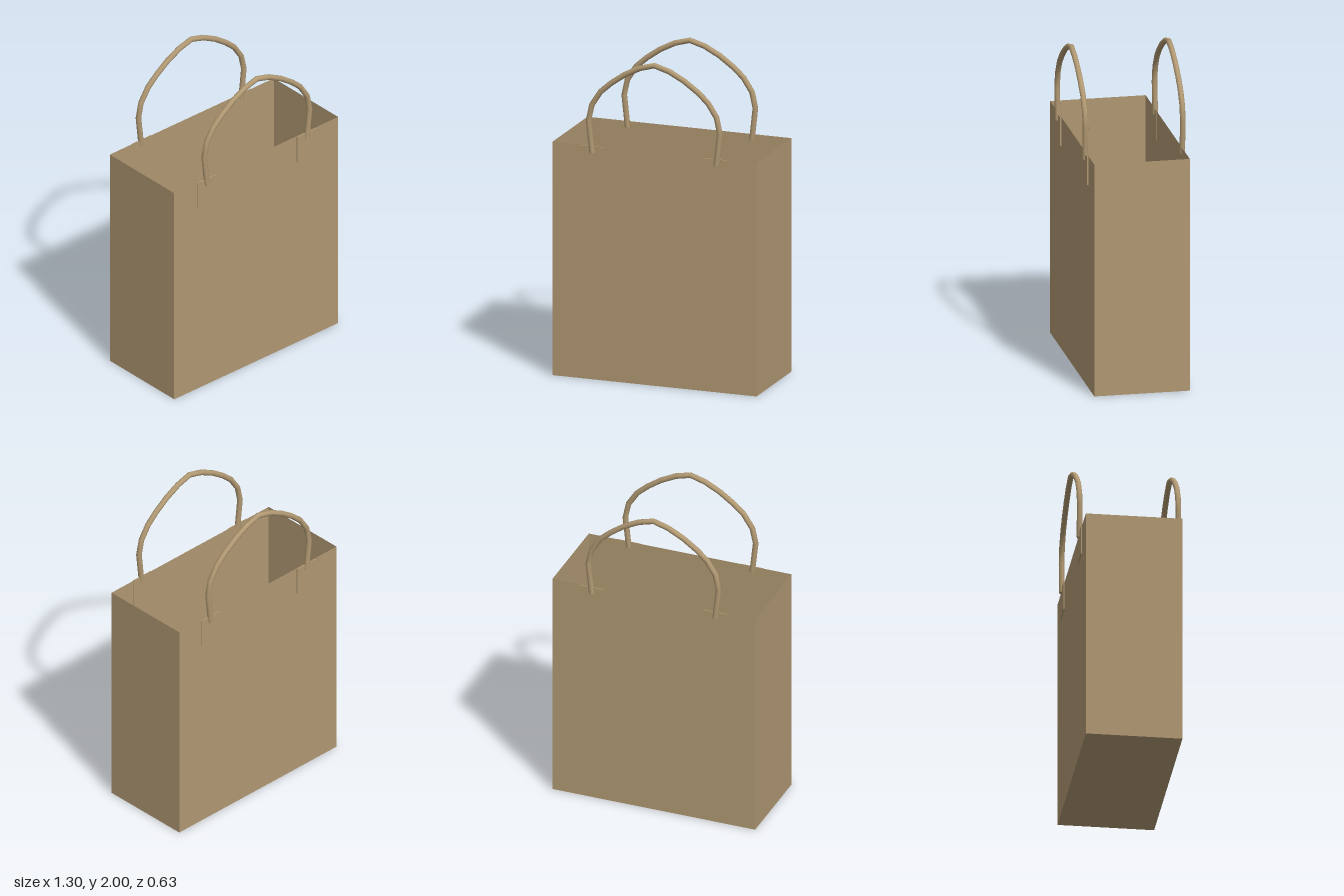
import * as THREE from 'three';

const W = 1.3, H = 1.445, D = 0.58;

// Polyline that places one tube ring on each point
class Polyline extends THREE.Curve {
  constructor(points) {
    super();
    this.points = points;
  }
  getPoint(t, target = new THREE.Vector3()) {
    const last = this.points.length - 1;
    const i = Math.min(Math.floor(t * last + 1e-6), last - 1);
    return target.lerpVectors(this.points[i], this.points[i + 1], t * last - i);
  }
  getPointAt(t, target) { return this.getPoint(t, target); }
  getTangentAt(t, target) { return this.getTangent(t, target); }
}

export function createModel() {
  const model = new THREE.Group();
  model.name = 'paperBag';
  const paper = new THREE.MeshStandardMaterial({ color: 0xb09872, side: THREE.DoubleSide });

  const add = (parent, name, geometry, x = 0, y = 0, z = 0) => {
    const mesh = new THREE.Mesh(geometry, paper);
    mesh.name = name;
    mesh.position.set(x, y, z);
    parent.add(mesh);
    return mesh;
  };

  // Open-topped body of thin paper panels
  const body = new THREE.Group();
  body.name = 'body';
  model.add(body);
  add(body, 'bottom', new THREE.PlaneGeometry(W, D)).rotation.x = Math.PI / 2;
  add(body, 'frontPanel', new THREE.PlaneGeometry(W, H), 0, H / 2, D / 2);
  add(body, 'backPanel', new THREE.PlaneGeometry(W, H), 0, H / 2, -D / 2).rotation.y = Math.PI;
  add(body, 'leftPanel', new THREE.PlaneGeometry(D, H), W / 2, H / 2, 0).rotation.y = Math.PI / 2;
  add(body, 'rightPanel', new THREE.PlaneGeometry(D, H), -W / 2, H / 2, 0).rotation.y = -Math.PI / 2;

  // Handle arch: half profile from the foot to the crown, mirrored in x
  const half = [
    [0.396, 1.405], [0.418, 1.605], [0.397, 1.702], [0.342, 1.787],
    [0.275, 1.847], [0.19, 1.907], [0.095, 1.956],
  ];
  const arch = [
    ...half.map(([x, y]) => new THREE.Vector3(-x, y, 0)),
    new THREE.Vector3(0, 1.983, 0),
    ...half.map(([x, y]) => new THREE.Vector3(x, y, 0)).reverse(),
  ];
  const handleGeometry = new THREE.TubeGeometry(new Polyline(arch), arch.length - 1, 0.017, 12);
  const capGeometry = new THREE.CircleGeometry(0.017, 12).rotateX(Math.PI / 2);
  const patchGeometry = new THREE.BoxGeometry(0.15, 0.178, 0.008);

  // A handle with two glued patches on the front and on the back
  for (const [side, s] of [['front', 1], ['back', -1]]) {
    const group = new THREE.Group();
    group.name = side + 'Handle';
    model.add(group);
    add(group, 'cord', handleGeometry, 0, 0, s * 0.296);
    for (const x of [-1, 1]) {
      add(group, 'cordEnd', capGeometry, x * 0.396, 1.405, s * 0.296).rotation.z = -x * 0.11;
      add(group, 'patch', patchGeometry, x * 0.396, 1.354, s * (D / 2 + 0.003));
    }
  }
  return model;
}
